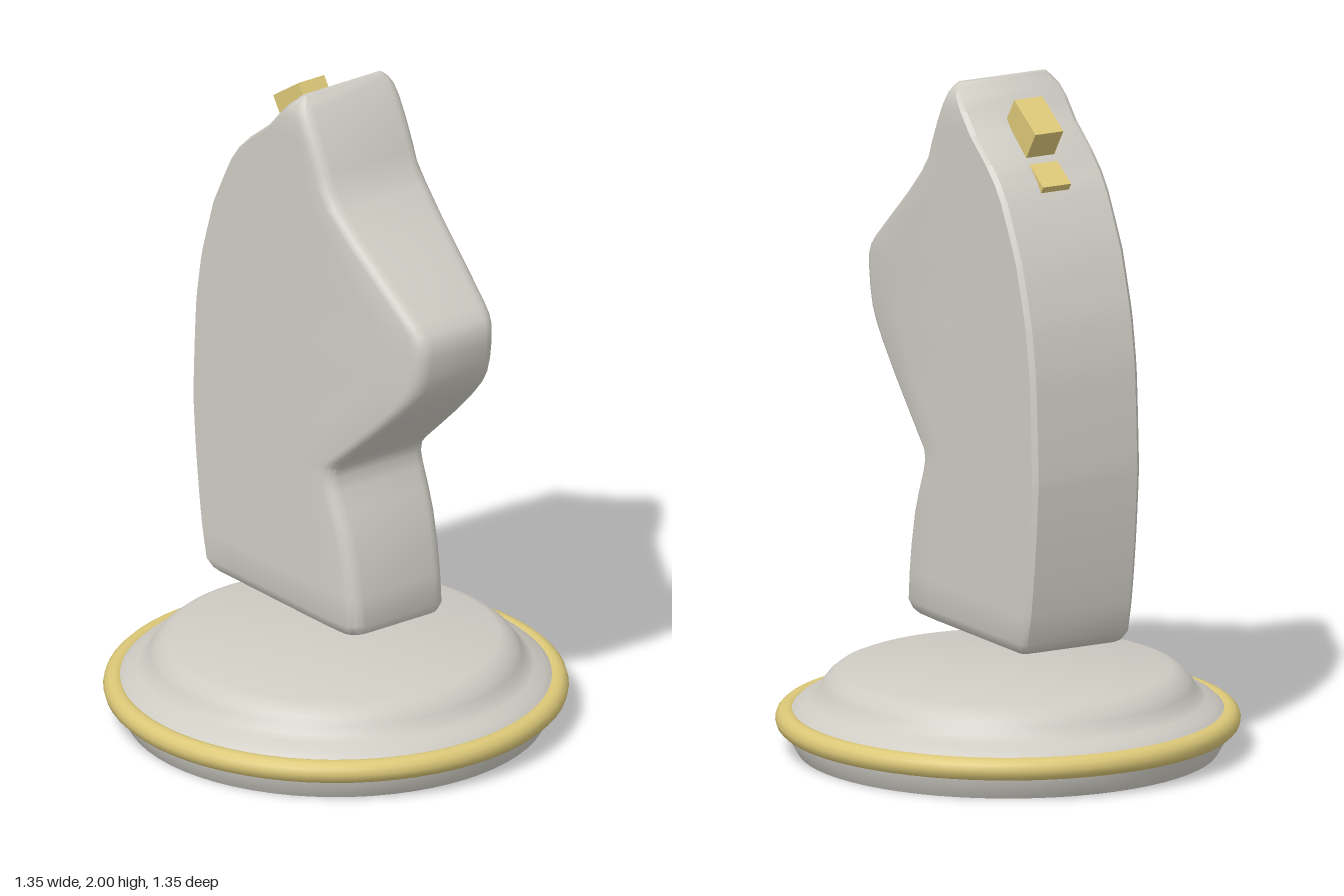
import * as THREE from 'three';
import { toCreasedNormals } from 'three/addons/utils/BufferGeometryUtils.js';

// Side outline of the horse: height, front z, back z
const OUTLINE = [
  [0.375, 0.275, -0.355], [0.385, 0.295, -0.375], [0.41, 0.305, -0.392], [0.5, 0.297, -0.412],
  [0.58, 0.284, -0.424], [0.68, 0.26, -0.436], [0.75, 0.232, -0.443], [0.81, 0.207, -0.448],
  [0.85, 0.196, -0.451], [0.88, 0.202, -0.453], [0.91, 0.23, -0.455], [0.98, 0.31, -0.452],
  [1.06, 0.4, -0.449], [1.14, 0.483, -0.445], [1.19, 0.528, -0.442], [1.23, 0.553, -0.438],
  [1.28, 0.569, -0.43], [1.34, 0.578, -0.42], [1.38, 0.578, -0.411], [1.41, 0.565, -0.402],
  [1.44, 0.535, -0.393], [1.54, 0.41, -0.362], [1.62, 0.31, -0.322], [1.7, 0.22, -0.28],
  [1.75, 0.18, -0.243], [1.8, 0.16, -0.19], [1.87, 0.128, -0.1], [1.93, 0.095, -0.045],
  [1.965, 0.072, -0.012], [1.985, 0.056, 0.008], [2.0, 0.04, 0.024],
];

// Half width narrows toward the muzzle and rounds off at top and bottom
function halfWidth(z, y) {
  const t = THREE.MathUtils.clamp((z - 0.2) / 0.38, 0, 1);
  const top = Math.max(0, (y - 1.94) / 0.06);
  const bottom = Math.max(0, (0.41 - y) / 0.035);
  return 0.18 - 0.04 * t - 0.035 * top * top - 0.02 * bottom * bottom;
}

// One horizontal section: rounded front corners, chamfered back corners
function section([y, front, back]) {
  const r = Math.min(0.04, (front - back) * 0.4);
  const c = Math.min(0.014, (front - back) * 0.3);
  const half = [];
  for (let k = 0; k <= 4; k++) {
    const a = (k * Math.PI) / 8;
    const z = front - r + r * Math.cos(a);
    half.push([halfWidth(z, y) - r + r * Math.sin(a), z]);
  }
  for (let k = 1; k <= 6; k++) {
    const z = THREE.MathUtils.lerp(front - r, back + c, k / 6);
    half.push([halfWidth(z, y), z]);
  }
  half.push([halfWidth(back, y) - c, back]);
  const mirrored = half.map(([x, z]) => [-x, z]).reverse();
  return [...half, ...mirrored].map(([x, z]) => [x, y, z]);
}

// Skin through the sections, closed at both ends
function horseGeometry() {
  const rings = OUTLINE.map(section);
  const n = rings[0].length;
  const points = rings.flat();
  const index = [];
  for (let i = 0; i < rings.length - 1; i++) {
    for (let j = 0; j < n; j++) {
      const k = (j + 1) % n;
      const a = i * n + j, b = i * n + k;
      index.push(a, b, b + n, a, b + n, a + n);
    }
  }
  const last = (rings.length - 1) * n;
  const bottom = points.push([0, 0.375, -0.04]) - 1;
  const top = points.push([0, 2.0, 0.032]) - 1;
  for (let j = 0; j < n; j++) {
    const k = (j + 1) % n;
    index.push(bottom, k, j, top, last + j, last + k);
  }
  const g = new THREE.BufferGeometry();
  g.setAttribute('position', new THREE.Float32BufferAttribute(points.flat(), 3));
  g.setIndex(index);
  return toCreasedNormals(g, 0.6);
}

export function createModel() {
  const group = new THREE.Group();
  const stone = new THREE.MeshStandardMaterial({ color: 0xcfccc4 });
  stone.name = 'warm grey';
  const gold = new THREE.MeshStandardMaterial({ color: 0xdcc878 });
  gold.name = 'pale gold';

  function add(name, geometry, material) {
    const mesh = new THREE.Mesh(geometry, material);
    mesh.name = name;
    group.add(mesh);
    return mesh;
  }

  // Turned base
  const profile = [
    [0, 0], [0.61, 0], [0.645, 0.06], [0.645, 0.11], [0.62, 0.13], [0.61, 0.14], [0.575, 0.155],
    [0.553, 0.17], [0.54, 0.195], [0.525, 0.215], [0.5, 0.235], [0.475, 0.245], [0, 0.245],
  ].map(([r, y]) => new THREE.Vector2(r, y));
  add('base', toCreasedNormals(new THREE.LatheGeometry(profile, 64), 0.6), stone);

  // Gold band around the base
  const band = new THREE.TorusGeometry(0.641, 0.034, 12, 64);
  band.rotateX(Math.PI / 2);
  add('baseRing', band, gold).position.y = 0.095;

  // Horse head and neck
  add('horseHead', horseGeometry(), stone);

  // Tilted crest blocks behind the tip
  const blocks = [
    ['crestBlock', 0.15, 0.144, 1.862, -0.134],
    ['lowerCrestBlock', 0.06, 0.1, 1.74, -0.2215],
  ];
  for (const [name, height, depth, y, z] of blocks) {
    const block = add(name, new THREE.BoxGeometry(0.094, height, depth), gold);
    block.position.set(0, y, z);
    block.rotation.x = -0.585;
  }
  return group;
}
